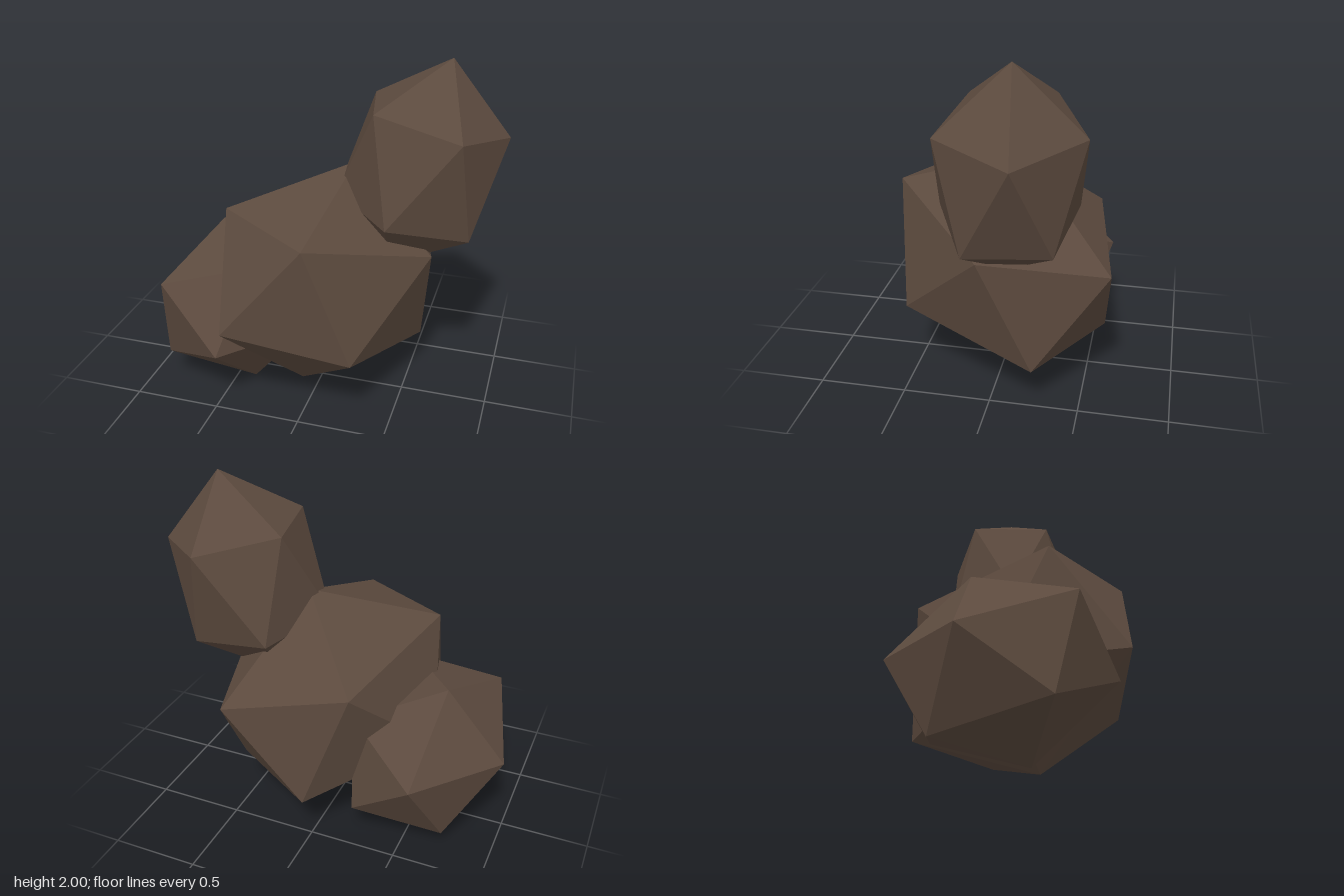
import * as THREE from 'three';
import { ConvexGeometry } from 'three/addons/geometries/ConvexGeometry.js';

// A stretched, tilted icosahedron: six corner offsets, each mirrored through the centre.
function makeRock(name, center, halfAxes, material) {
  const points = halfAxes.flatMap((axis) => {
    const corner = new THREE.Vector3(...axis);
    return [corner, corner.clone().negate()];
  });
  const rock = new THREE.Mesh(new ConvexGeometry(points), material);
  rock.name = name;
  rock.position.set(...center);
  return rock;
}

export function createModel() {
  const group = new THREE.Group();
  group.name = 'rockCluster';

  const stone = new THREE.MeshStandardMaterial({ color: 0x5c4a3e, flatShading: true });
  stone.name = 'brownStone';

  // Large middle boulder
  group.add(makeRock('largeRock', [0.036, 0.715, 0], [
    [0.025, 0.425, 0.595],
    [0.275, -0.265, 0.525],
    [-0.425, -0.115, 0.648],
    [-0.52, 0.455, 0.245],
    [0.605, 0.215, 0.04],
    [-0.12, -0.665, 0.13],
  ], stone));

  // Tall rock leaning at the upper left
  group.add(makeRock('uprightRock', [0.53, 1.4, -0.125], [
    [0.135, 0.6, -0.033],
    [0.46, 0.18, -0.08],
    [0.26, 0.25, 0.33],
    [0.31, -0.34, 0.19],
    [-0.11, -0.24, 0.4],
    [-0.22, 0.345, 0.255],
  ], stone));

  // Small rock low on the right
  group.add(makeRock('smallRock', [-0.525, 0.465, 0], [
    [-0.135, 0.462, -0.13],
    [-0.305, 0.265, 0.43],
    [-0.475, 0.065, -0.13],
    [0.075, -0.065, 0.582],
    [-0.345, -0.262, 0.31],
    [-0.195, -0.38, -0.31],
  ], stone));

  return group;
}
